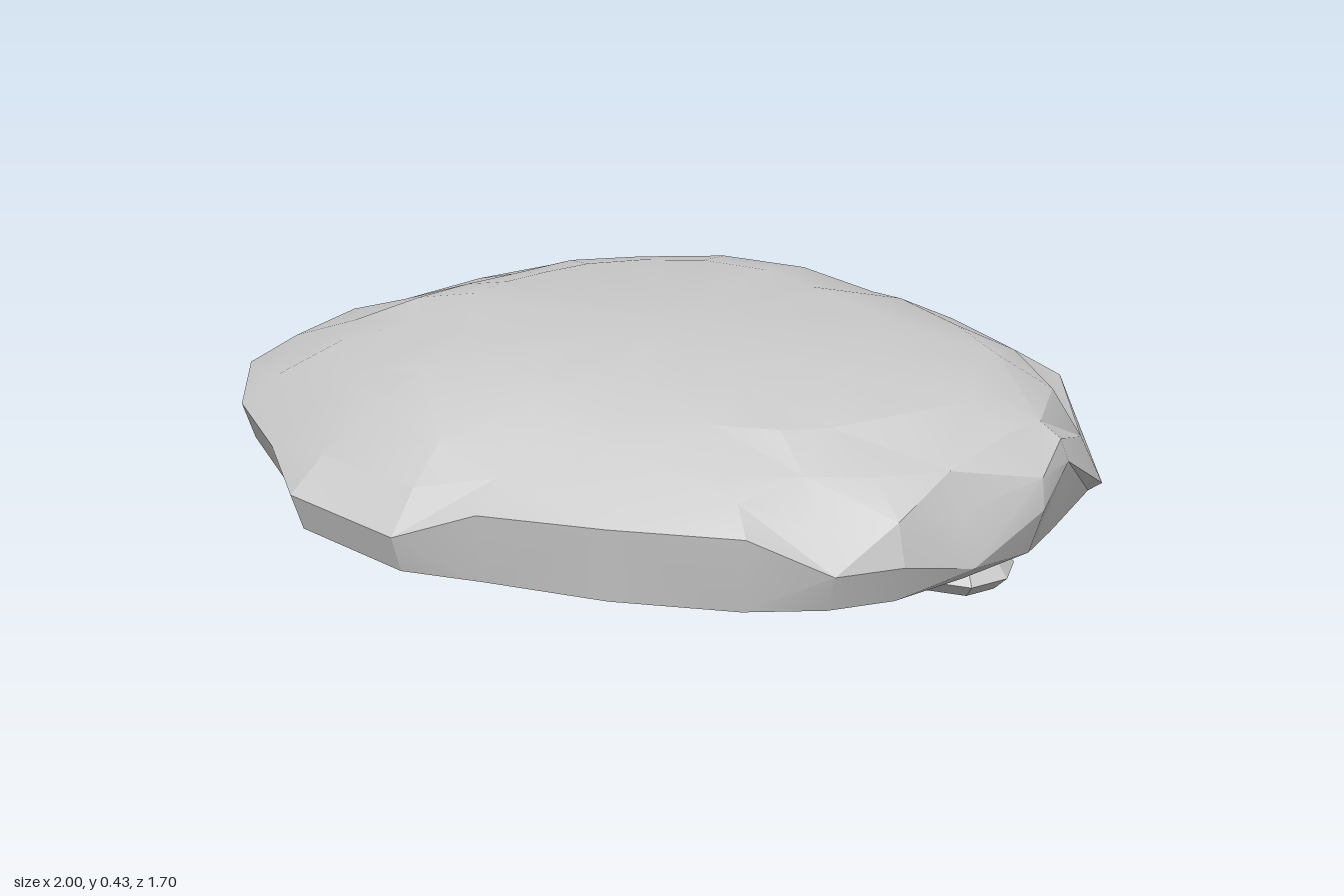
import * as THREE from 'three';
import { toCreasedNormals } from 'three/addons/utils/BufferGeometryUtils.js';

// Closed solid from stacked rings of [x, y, z] points, listed bottom to top.
function loft(rings, bottomCentre, topCentre, crease) {
  const n = rings[0].length;
  const positions = [...bottomCentre, ...topCentre, ...rings.flat(2)];
  const at = (i, j) => 2 + i * n + (j % n);
  const index = [];
  for (let j = 0; j < n; j++) {
    index.push(0, at(0, j), at(0, j + 1));
    for (let i = 0; i < rings.length - 1; i++) {
      const a = at(i, j), b = at(i, j + 1), c = at(i + 1, j), d = at(i + 1, j + 1);
      // alternate the diagonal for an irregular, chipped surface
      if ((i + j) % 2) index.push(a, c, d, a, d, b);
      else index.push(a, c, b, b, c, d);
    }
    index.push(1, at(rings.length - 1, j + 1), at(rings.length - 1, j));
  }
  const geometry = new THREE.BufferGeometry();
  geometry.setAttribute('position', new THREE.Float32BufferAttribute(positions, 3));
  geometry.setIndex(index);
  return toCreasedNormals(geometry, crease);
}

// Rim of the slab seen from above: x, z and how far the rim is chipped upward.
const RIM = [
  [-1, -0.01, 0], [-0.92, -0.29, 0], [-0.78, -0.53, 0], [-0.55, -0.70, 0.04],
  [-0.28, -0.82, 0], [0.03, -0.85, 0], [0.34, -0.79, 0], [0.48, -0.74, 0.03],
  [0.74, -0.63, 0], [0.93, -0.41, -0.06], [0.98, -0.15, 0.08], [1, -0.02, 0.02],
  [0.96, 0.18, -0.05], [0.91, 0.36, 0], [0.83, 0.48, 0], [0.70, 0.59, 0.08],
  [0.46, 0.71, 0.08], [0.20, 0.79, 0.07], [0.03, 0.85, 0], [-0.29, 0.81, 0],
  [-0.53, 0.63, 0], [-0.78, 0.48, 0], [-0.98, 0.26, 0],
];

// Each level: height, scale toward -x, +x, +z, -z, share of the rim chips,
// roughness, and how much the two +x corners are rounded off.
const LEVELS = [
  [0.04, 0.60, 0.55, 0.50, 0.52, 0, 0, 0],
  [0.06, 0.87, 0.82, 0.82, 0.87, 0, 0, 0],
  [0.10, 0.97, 0.97, 0.97, 0.98, 0, 0, 0],
  [0.18, 1.00, 1.00, 1.00, 1.00, 1, 0, 0],
  [0.26, 0.88, 0.985, 0.91, 0.94, 0.5, 0.016, 0.02],
  [0.33, 0.72, 0.93, 0.81, 0.85, 0.2, 0.02, 0.035],
  [0.39, 0.53, 0.80, 0.65, 0.72, 0, 0.012, 0.04],
  [0.423, 0.40, 0.60, 0.47, 0.53, 0, 0, 0.05],
];

function slabGeometry() {
  const rings = LEVELS.map(([y, left, right, front, back, chip, rough, round], i) =>
    RIM.map(([x, z, lift], j) => {
      const r2 = x * x + z * z;
      const wx = (x * x) / r2;
      const corner = (2 * Math.abs(x * z)) / r2;
      const s = wx * (x < 0 ? left : right) + (1 - wx) * (z > 0 ? front : back)
        - (x > 0 ? corner * round : 0) + rough * Math.sin(j * 2.4 + i * 1.9);
      const bump = rough * 0.5 * Math.sin(j * 3.7 + i * 2.3);
      return [x * s, y + lift * chip + bump, z * s];
    }));
  return loft(rings, [0.1, 0.037, 0], [0.1, 0.43, 0], 0.33);
}

// Small flat pebble with eight uneven sides.
function pebbleGeometry(seed) {
  const rings = [[0, 0.78], [0.03, 1], [0.055, 0.85], [0.075, 0.45]].map(([y, s]) =>
    Array.from({ length: 8 }, (_, j) => {
      const a = (j / 8) * Math.PI * 2;
      const r = s * (1 - 0.07 * (1 + Math.sin(j * 2.3 + seed)) * 0.5);
      return [Math.cos(a) * 0.145 * r, y, Math.sin(a) * 0.122 * r];
    }));
  return loft(rings, [0, 0, 0], [0, 0.078, 0], 0.3);
}

export function createModel() {
  const model = new THREE.Group();
  model.name = 'flatStone';
  const stone = new THREE.MeshStandardMaterial({ color: 0xcccccc });
  stone.name = 'stoneGrey';

  const slab = new THREE.Mesh(slabGeometry(), stone);
  slab.name = 'slab';
  model.add(slab);

  // Three supporting pebbles under the slab
  [['frontPebble', -0.48, 0.385], ['leftPebble', 0.79, -0.02], ['backPebble', -0.26, -0.5]]
    .forEach(([name, x, z], i) => {
      const pebble = new THREE.Mesh(pebbleGeometry(i * 1.7), stone);
      pebble.name = name;
      pebble.position.set(x, 0, z);
      model.add(pebble);
    });
  return model;
}
